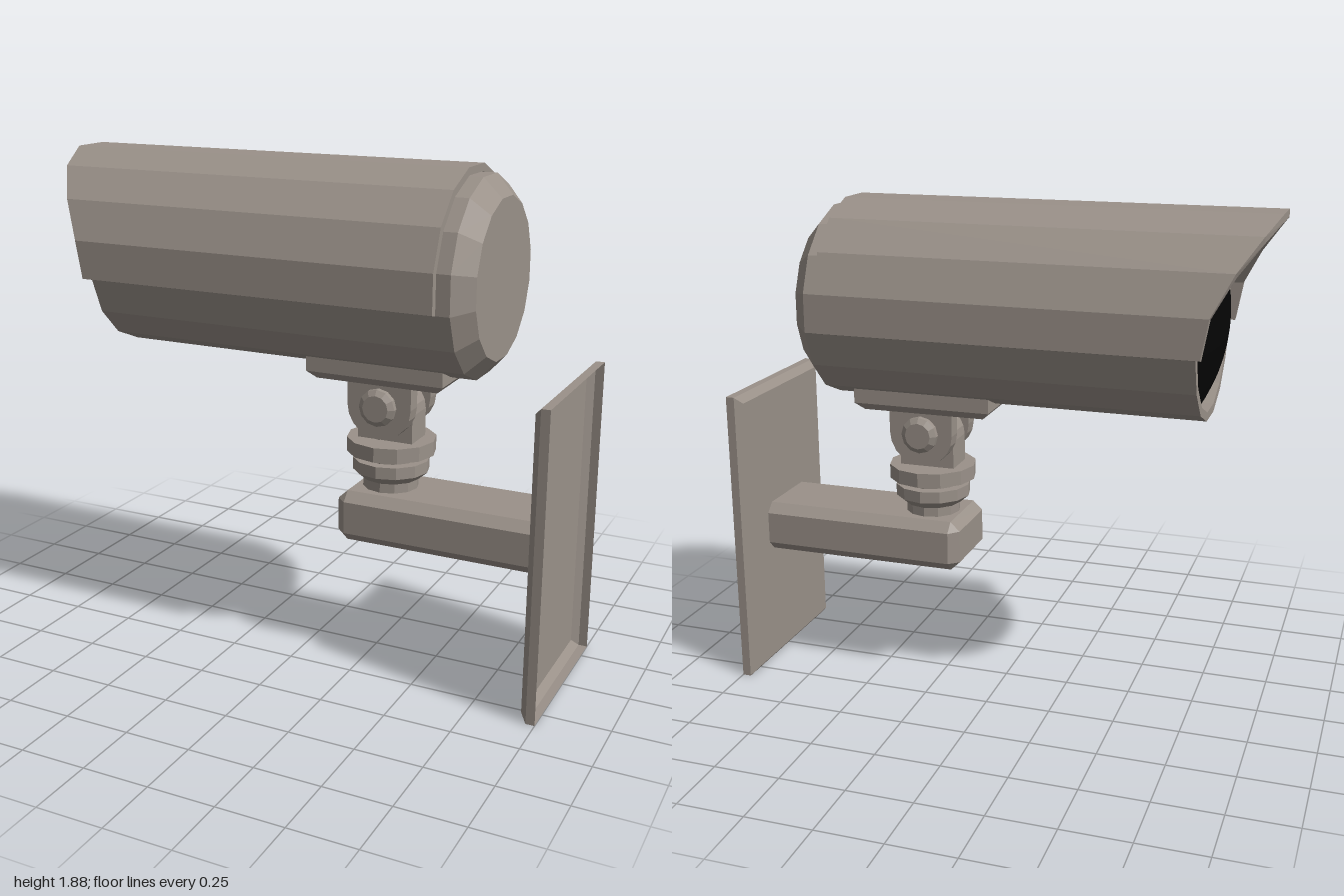
import * as THREE from 'three';

// Surface through closed rings of [x, y, z] points, with optional flat ends
function loft(rings, capStart, capEnd) {
  const pos = [];
  const n = rings[0].length;
  const tri = (a, b, c) => pos.push(...a, ...b, ...c);
  for (let r = 0; r < rings.length - 1; r++) {
    for (let i = 0; i < n; i++) {
      const j = (i + 1) % n;
      const [a, b, c, d] = [rings[r][i], rings[r][j], rings[r + 1][j], rings[r + 1][i]];
      tri(a, b, c);
      tri(a, c, d);
    }
  }
  for (let i = 1; i < n - 1; i++) {
    const s = rings[0], e = rings[rings.length - 1];
    if (capStart) tri(s[0], s[i + 1], s[i]);
    if (capEnd) tri(e[0], e[i], e[i + 1]);
  }
  const geo = new THREE.BufferGeometry();
  geo.setAttribute('position', new THREE.Float32BufferAttribute(pos, 3));
  geo.computeVertexNormals();
  return geo;
}

// Rectangle with cut corners, half sizes a and b, corner cut c
function cutRect(a, b, c) {
  return [[a, b - c], [a - c, b], [c - a, b], [-a, b - c],
    [-a, c - b], [c - a, -b], [a - c, -b], [a, c - b]];
}

function lathe(points, sides, phase = 0) {
  return new THREE.LatheGeometry(points.map(p => new THREE.Vector2(...p)), sides, phase);
}

export function createModel() {
  const group = new THREE.Group();
  const casing = new THREE.MeshStandardMaterial({ color: 0x9a9189, flatShading: true, side: THREE.DoubleSide });
  const glass = new THREE.MeshStandardMaterial({ color: 0x050505, side: THREE.DoubleSide });
  const add = (name, geo, mat = casing) => {
    const mesh = new THREE.Mesh(geo, mat);
    mesh.name = name;
    group.add(mesh);
    return mesh;
  };
  const axisY = 1.495;
  const pivotX = 0.3;

  // Sixteen-sided housing with recessed front and tapered rear cap
  add('housing', lathe([[0.33, -0.71], [0.33, -0.77], [0.362, -0.77], [0.362, 0.65],
    [0.29, 0.715], [0, 0.715]], 16, Math.PI / 16).rotateZ(-Math.PI / 2).translate(0, axisY, 0));

  // Shallow domed lens
  const dome = [];
  for (let i = 0; i <= 8; i++) {
    const r = 0.33 * i / 8;
    dome.push([r, -0.82 + 0.625 - Math.sqrt(0.625 ** 2 - r * r)]);
  }
  add('lens', lathe(dome, 32).rotateZ(-Math.PI / 2).translate(0, axisY, 0), glass);

  // Sun shade wrapped over the housing, its front edge swept back at the sides
  const frontX = [-0.79, -0.815, -0.885, -0.958, -1];
  const outer = [], inner = [];
  for (let i = 0; i < 10; i++) {
    const a = (i - 4.5) * Math.PI / 8;
    const x = frontX[Math.min(i, 9 - i)];
    const edge = i === 0 || i === 9;
    outer.push([x, axisY + (edge ? -0.064 : 0.393 * Math.cos(a)), 0.393 * Math.sin(a)]);
    inner.push([x, axisY + 0.365 * Math.cos(a), 0.365 * Math.sin(a)]);
  }
  const toRear = p => [0.6, p[1], p[2]];
  const shadeFront = [...outer, ...inner.slice().reverse()];
  add('sunShade', loft([shadeFront, shadeFront.map(toRear)]));
  const strip = (name, map) => {
    for (let i = 0; i < 9; i++) {
      add(name, loft([[outer[i], outer[i + 1], inner[i + 1], inner[i]].map(map)], true));
    }
  };
  strip('shadeFrontEdge', p => p);
  strip('shadeRearEdge', toRear);

  // Saddle plate under the housing
  const saddle = [[1.18, 0.267, 0.155], [1.12, 0.267, 0.155], [1.09, 0.237, 0.125]];
  add('saddlePlate', loft(saddle.map(([y, a, b]) =>
    cutRect(a, b, 0).map(p => [0.288 + p[0], y, p[1]])), true, true));

  // Two rounded ears with pivot bolts
  const ear = new THREE.Shape();
  ear.moveTo(-0.125, 0.09);
  ear.lineTo(-0.125, 0);
  ear.absarc(0, 0, 0.125, Math.PI, Math.PI * 2, false);
  ear.lineTo(0.125, 0.09);
  for (const side of [1, -1]) {
    const geo = new THREE.ExtrudeGeometry(ear, { depth: 0.06, bevelEnabled: false, curveSegments: 5 });
    add('pivotEar', geo.translate(pivotX, 1.01, side > 0 ? 0.065 : -0.125));
    const bolt = lathe([[0.07, 0], [0.07, 0.02], [0.05, 0.035], [0, 0.035]], 12);
    add('pivotBolt', bolt.rotateX(side * Math.PI / 2).translate(pivotX, 1.01, side * 0.125));
  }

  // Tongue between the ears
  const tongue = new THREE.Shape();
  tongue.moveTo(-0.108, -0.16);
  tongue.lineTo(0.108, -0.16);
  tongue.absarc(0, -0.04, 0.108, 0, Math.PI, false);
  add('pivotTongue', new THREE.ExtrudeGeometry(tongue,
    { depth: 0.13, bevelEnabled: false, curveSegments: 5 }).translate(pivotX, 1.01, -0.065));

  // Swivel collars and neck
  add('swivel', lathe([[0, 0.865], [0.168, 0.865], [0.168, 0.81], [0.105, 0.81], [0.105, 0.785],
    [0.145, 0.785], [0.145, 0.74], [0.11, 0.71], [0.105, 0.71], [0.105, 0.66]], 12)
    .translate(pivotX, 0, 0));

  // Horizontal arm with bevelled edges
  const arm = [[0.145, 0.132, 0.0625, 0], [0.182, 0.168, 0.0975, 0.036], [0.94, 0.168, 0.0975, 0.036]];
  add('arm', loft(arm.map(([x, a, b, c]) =>
    cutRect(a, b, c).map(p => [x, 0.575 + p[1], p[0]])), true, true));

  // Hollow wall plate, open towards the wall
  const tray = [[0.942, 0.31, 0.548], [0.967, 0.335, 0.575], [1, 0.335, 0.575]];
  add('wallPlate', loft(tray.map(([x, a, b]) =>
    cutRect(a, b, 0).map(p => [x, 0.575 + p[1], p[0]])), true, false));

  return group;
}
